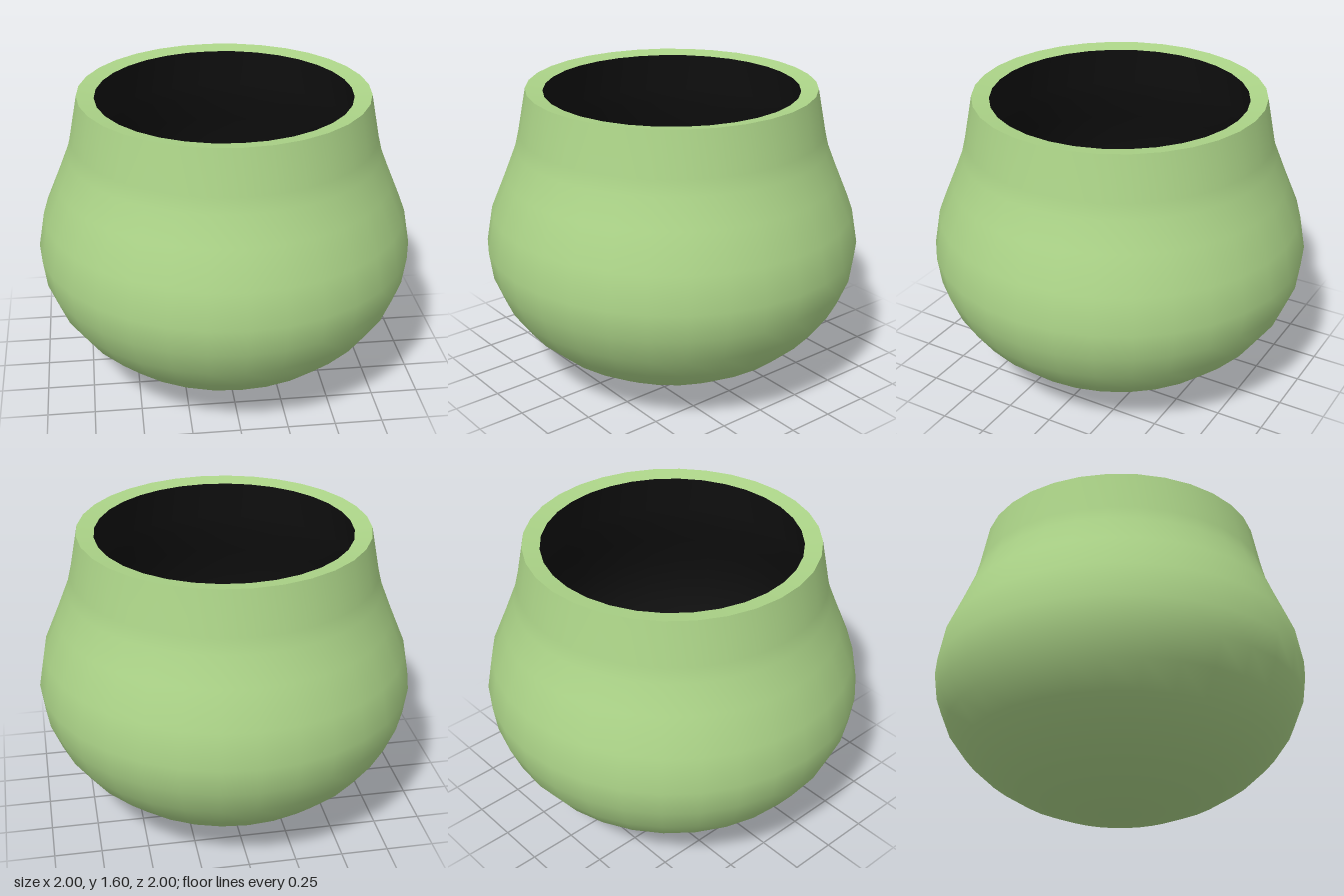
import * as THREE from 'three';

const SEGMENTS = 32;
const CENTRE = 0.76; // height of the widest ring

// Lower half of a squashed sphere, from the pole up to the widest ring
function bowlProfile(radius, depth) {
  const points = [];
  for (let i = 0; i <= 8; i++) {
    const a = (i / 8) * Math.PI / 2;
    points.push(new THREE.Vector2(radius * Math.sin(a), CENTRE - depth * Math.cos(a)));
  }
  return points;
}

const toPoints = (list) => list.map(([r, y]) => new THREE.Vector2(r, y));

function turned(name, points, material) {
  const mesh = new THREE.Mesh(new THREE.LatheGeometry(points, SEGMENTS), material);
  mesh.name = name;
  return mesh;
}

export function createModel() {
  const group = new THREE.Group();
  group.name = 'pot';
  const green = new THREE.MeshStandardMaterial({ color: 0xacd488 });
  const black = new THREE.MeshStandardMaterial({ color: 0x101010 });

  // Round body with a tapering neck
  const body = [
    ...bowlProfile(1, CENTRE),
    ...toPoints([[0.965, 0.95], [0.885, 1.14], [0.825, 1.29], [0.805, 1.37], [0.76, 1.6]]),
  ];
  group.add(turned('body', body, green));

  // Rim, sloping slightly inward
  group.add(turned('rim', toPoints([[0.76, 1.6], [0.67, 1.585]]), green));

  // Dark hollow, running from the rim down to the inner floor
  const hollow = [
    ...bowlProfile(0.9, 0.67),
    ...toPoints([[0.87, 0.94], [0.79, 1.13], [0.73, 1.29], [0.715, 1.37], [0.67, 1.585]]),
  ].reverse();
  group.add(turned('hollow', hollow, black));

  return group;
}
